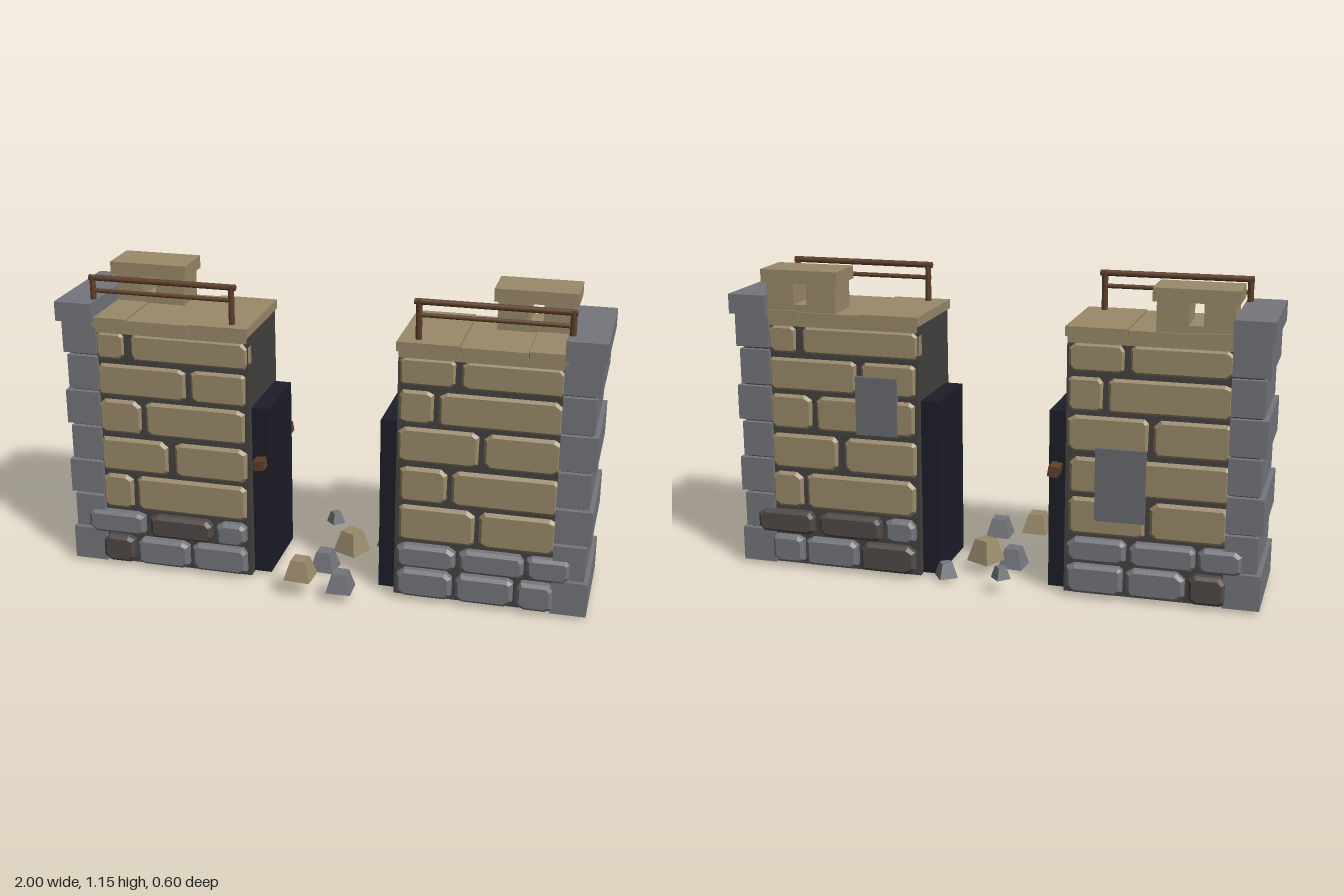
import * as THREE from 'three';

const mat = (name, color) => {
  const m = new THREE.MeshStandardMaterial({ color });
  m.name = name;
  return m;
};

export function createModel() {
  const root = new THREE.Group();
  root.name = 'ruinedGateway';
  const tan = mat('tan stone', 0x9a8a6a);
  const grey = mat('grey stone', 0x74767c);
  const dark = mat('dark stone', 0x514947);
  const mortar = mat('mortar', 0x454240);
  const navy = mat('dark jamb', 0x1d1d29);
  const wood = mat('wood', 0x5f3f29);
  const slate = mat('slate plate', 0x686b70);

  let seed = 7;
  const rnd = () => (seed = (seed * 16807) % 2147483647) / 2147483647;

  const add = (parent, name, geo, material) => {
    const m = new THREE.Mesh(geo, material);
    m.name = name;
    parent.add(m);
    return m;
  };
  // Box given by its limits on each axis
  const box = (parent, name, material, x0, x1, y0, y1, z0, z1) => {
    const g = new THREE.BoxGeometry(Math.abs(x1 - x0), y1 - y0, z1 - z0);
    const m = add(parent, name, g, material);
    m.position.set((x0 + x1) / 2, (y0 + y1) / 2, (z0 + z1) / 2);
    return m;
  };

  // Chamfered stone with uneven cut corners, facing +z
  const stoneGeo = (w, h, depth) => {
    const a = w / 2, b = h / 2, pts = [];
    const corner = (sx, sy, flip) => {
      const cx = 0.012 + rnd() * 0.018, cy = 0.01 + rnd() * 0.014;
      const p = [[sx * a, sy * (b - cy)], [sx * (a - cx), sy * b]];
      pts.push(...(flip ? p.reverse() : p));
    };
    corner(1, -1, true);
    corner(1, 1, false);
    corner(-1, 1, true);
    corner(-1, -1, false);
    const s = new THREE.Shape(pts.map(p => new THREE.Vector2(p[0], p[1])));
    return new THREE.ExtrudeGeometry(s, {
      depth: depth - 0.012, bevelEnabled: true, bevelSegments: 1,
      bevelThickness: 0.012, bevelSize: 0.012, bevelOffset: -0.012,
    });
  };

  // Course heights, then two bonds of stone limits in |x|, inner end first
  const courses = [[0.018, 0.125], [0.137, 0.226], [0.235, 0.375], [0.388, 0.525],
    [0.542, 0.678], [0.69, 0.818], [0.832, 0.94]];
  const bondA = [
    [[0.29, 0.505], [0.52, 0.725], [0.74, 0.865]],
    [[0.29, 0.405], [0.425, 0.67], [0.695, 0.92]],
    [[0.29, 0.725], [0.74, 0.865]],
    [[0.285, 0.57], [0.595, 0.865]],
    [[0.29, 0.68], [0.695, 0.865]],
    [[0.285, 0.5], [0.515, 0.865]],
    [[0.275, 0.73], [0.75, 0.865]],
  ];
  const bondB = [
    [[0.29, 0.495], [0.51, 0.72], [0.735, 0.865]],
    [[0.29, 0.505], [0.52, 0.755], [0.765, 0.92]],
    [[0.29, 0.57], [0.585, 0.865]],
    [[0.29, 0.465], [0.48, 0.865]],
    [[0.28, 0.575], [0.59, 0.865]],
    [[0.28, 0.41], [0.425, 0.865]],
    [[0.28, 0.485], [0.5, 0.865]],
  ];

  const MID = -0.015; // wall centre line in z
  const wall = (side, name, faces) => {
    const g = new THREE.Group();
    g.name = name;
    root.add(g);
    const X = (n, m, a, b, ...r) => box(g, n, m, side * a, side * b, ...r);

    // Mortar core, slightly thinner at the top
    const core = X('mortarCore', mortar, 0.276, 0.965, 0.01, 0.985, MID - 0.186, MID + 0.186);
    const p = core.geometry.attributes.position;
    for (let i = 0; i < p.count; i++) if (p.getY(i) > 0) p.setZ(i, p.getZ(i) * 0.92);
    core.geometry.computeVertexNormals();

    // Facing stones, front and back
    for (const { dir, bond, darkOnes } of faces) {
      bond.forEach((row, r) => row.forEach(([a, b], i) => {
        const [y0, y1] = courses[r];
        const out = r < 2 ? 0.214 + rnd() * 0.008 : 0.199 - r * 0.003;
        const m = add(g, 'facingStone', stoneGeo(b - a, y1 - y0, 0.045),
          r > 1 ? tan : darkOnes.includes(r + '-' + i) ? dark : grey);
        m.position.set(side * (a + b) / 2, (y0 + y1) / 2, MID + dir * (out - 0.045));
        if (dir < 0) m.rotation.y = Math.PI;
      }));
    }

    // Corner blocks, alternately long and short, and their cap
    for (let i = 0; i < 7; i++) {
      const y = 0.013 + i * 0.14, hz = 0.206 - i * 0.0026;
      X('cornerBlock', grey, 0.857, i % 2 ? 0.973 : 0.988, y, y + 0.131, MID - hz, MID + hz);
    }
    X('cornerCap', grey, 0.858, 1, 0.98, 1.053, -0.228, 0.2);

    // Coping
    X('copingBed', tan, 0.28, 0.858, 0.938, 0.965, -0.198, 0.17);
    [[0.272, 0.493], [0.497, 0.731], [0.735, 0.87]].forEach(([a, b], i) =>
      X('copingSlab', tan, a, b, 0.962, 0.997 - (i % 2) * 0.004, -0.205, 0.178));

    // Battlement with a narrow opening
    X('battlementSill', tan, 0.59, 0.86, 0.99, 1.02, -0.198, -0.055);
    X('battlementPier', tan, 0.59, 0.702, 1.02, 1.1, -0.198, -0.055);
    X('battlementPier', tan, 0.753, 0.86, 1.02, 1.1, -0.198, -0.055);
    X('battlementCap', tan, 0.577, 0.875, 1.1, 1.148, -0.21, -0.042);

    // Railing of round bars
    const bar = (n, len, x, y, rad, flat) => {
      const m = add(g, n, new THREE.CylinderGeometry(rad, rad, len, 8), wood);
      m.position.set(side * x, y, 0.131);
      if (flat) m.rotation.z = Math.PI / 2;
    };
    for (const x of [0.342, 0.873]) bar('railPost', 0.152, x, 1.066, 0.0115, false);
    bar('topRail', 0.56, 0.605, 1.134, 0.0115, true);
    bar('lowerRail', 0.55, 0.607, 1.086, 0.0085, true);

    // Dark jamb lining the passage
    X('jamb', navy, 0.21, 0.29, 0.012, 0.68, -0.17, 0.13);
    return g;
  };

  const right = wall(-1, 'rightWall', [
    { dir: 1, bond: bondA, darkOnes: ['0-2', '1-1'] },
    { dir: -1, bond: bondB, darkOnes: ['0-2'] },
  ]);
  const left = wall(1, 'leftWall', [
    { dir: 1, bond: bondB, darkOnes: [] },
    { dir: -1, bond: bondA, darkOnes: ['1-1', '1-2', '0-0'] },
  ]);

  // Slate plates on the back faces
  box(right, 'backPlate', slate, -0.57, -0.388, 0.295, 0.565, -0.214, -0.19);
  box(left, 'backPlate', slate, 0.357, 0.517, 0.545, 0.765, -0.209, -0.185);

  // Wooden beam through the right jamb
  const beam = box(right, 'beam', wood, -0.259, -0.221, 0.452, 0.49, -0.238, 0.178);
  beam.rotation.z = 0.15;

  // Rubble in the passage: x, base y, z, width, height, turn, material
  [
    [-0.064, 0.07, 0.243, 0.1, 0.075, -0.05, tan],
    [0.09, 0.038, 0.243, 0.094, 0.072, 0.02, grey],
    [0.06, 0.045, -0.065, 0.102, 0.085, -0.45, tan],
    [-0.026, 0, 0.02, 0.094, 0.075, -0.08, grey],
    [0.18, 0.012, -0.185, 0.07, 0.055, 0.6, grey],
    [-0.055, 0.06, -0.266, 0.054, 0.045, 0.75, grey],
  ].forEach(([x, y, z, w, h, turn, m]) => {
    const k = Math.SQRT1_2 * w;
    const geo = new THREE.CylinderGeometry(k * 0.57, k, h, 4).rotateY(Math.PI / 4).toNonIndexed();
    geo.computeVertexNormals();
    const r = add(root, 'rubble', geo, m);
    r.position.set(x, y + h / 2, z);
    r.rotation.y = turn;
  });
  return root;
}
